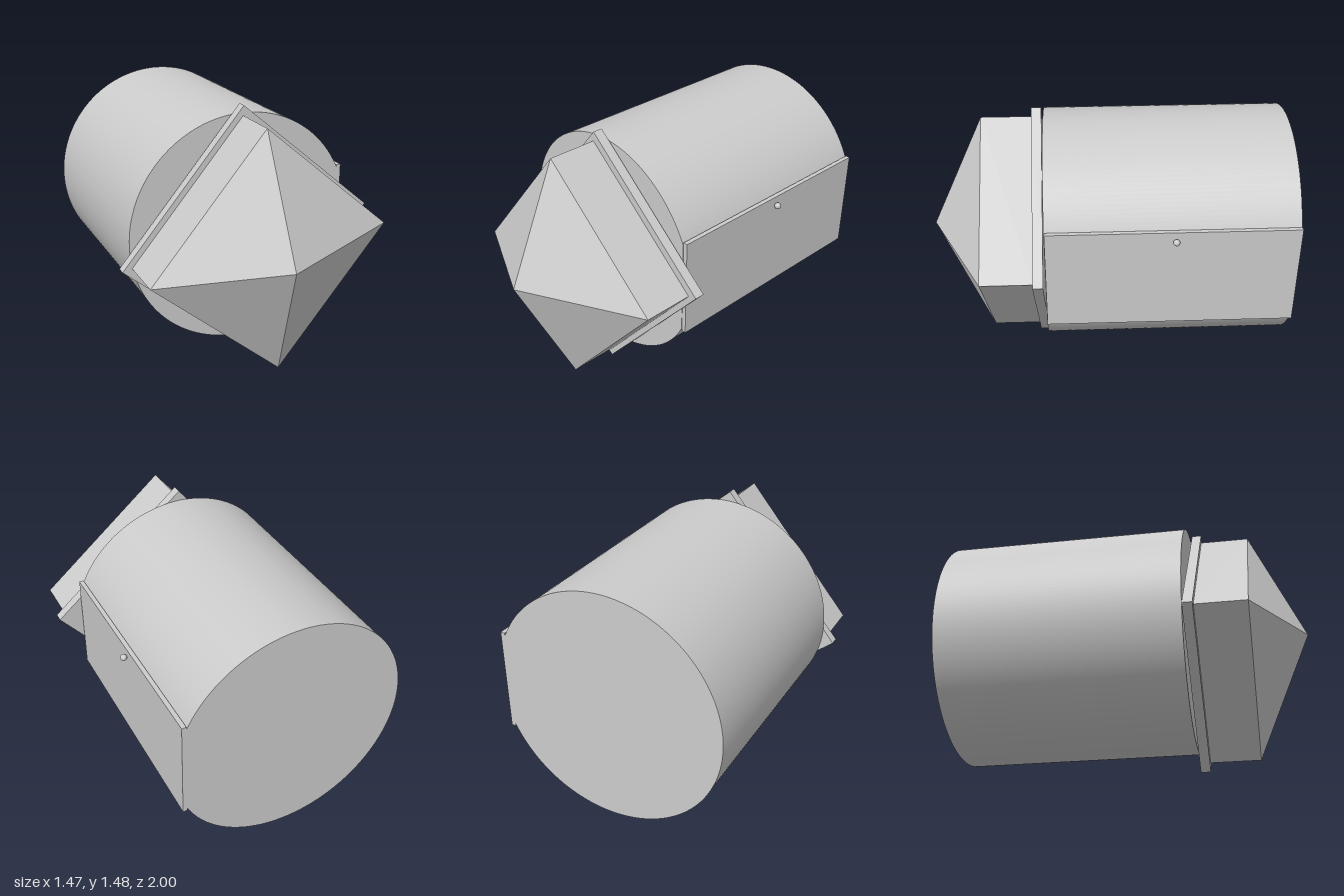
import * as THREE from 'three';
import { toCreasedNormals } from 'three/addons/utils/BufferGeometryUtils.js';

const smooth = new THREE.MeshStandardMaterial({ color: 0xcccccc });
const faceted = new THREE.MeshStandardMaterial({ color: 0xcccccc, flatShading: true });

function add(parent, name, geometry, material, x = 0, y = 0, z = 0) {
  const mesh = new THREE.Mesh(geometry, material);
  mesh.name = name;
  mesh.position.set(x, y, z);
  parent.add(mesh);
  return mesh;
}

// Round drum lying along z, with a flat cut on its left side
function drumGeometry(radius, flatX, length) {
  const a = Math.acos(flatX / radius);
  const shape = new THREE.Shape();
  shape.absarc(0, 0, radius, a, 2 * Math.PI - a, false);
  shape.closePath();
  const geometry = new THREE.ExtrudeGeometry(shape, {
    depth: length, bevelEnabled: false, curveSegments: 72,
  });
  return toCreasedNormals(geometry, 0.4);
}

// Four-sided point along +z, its tip shifted sideways
function pointGeometry(width, height, depth, tipX, tipY) {
  const geometry = new THREE.ConeGeometry(Math.SQRT1_2, 1, 4, 1, true, Math.PI / 4);
  geometry.rotateX(Math.PI / 2);
  geometry.translate(0, 0, 0.5);
  geometry.scale(width, height, depth);
  const p = geometry.attributes.position;
  for (let i = 0; i < p.count; i++) {
    const t = p.getZ(i) / depth;
    p.setXY(i, p.getX(i) + tipX * t, p.getY(i) + tipY * t);
  }
  return geometry;
}

export function createModel() {
  const model = new THREE.Group();
  model.name = 'pointedDrum';

  add(model, 'drumBody', drumGeometry(0.655, 0.595, 1.348), smooth, -0.02, 0.775, -1);

  // Door panel on the flat, with its knob
  const door = new THREE.Group();
  door.name = 'door';
  add(door, 'doorPanel', new THREE.BoxGeometry(0.025, 0.58, 1.345), faceted, 0.5875, 0.775, -0.3275);
  const stem = new THREE.CylinderGeometry(0.01, 0.01, 0.04, 16).rotateZ(Math.PI / 2);
  add(door, 'knobStem', stem, smooth, 0.595, 1.015, -0.34);
  add(door, 'knob', new THREE.SphereGeometry(0.018, 20, 14), smooth, 0.617, 1.015, -0.34);
  model.add(door);

  // Tilted head: flange plate, block and point
  const head = new THREE.Group();
  head.name = 'head';
  head.position.set(0, 0.744, 0);
  head.rotation.z = THREE.MathUtils.degToRad(-40);
  add(head, 'flangePlate', new THREE.BoxGeometry(1.018, 1.079, 0.055), faceted, 0, 0, 0.3825);
  add(head, 'headBlock', new THREE.BoxGeometry(0.955, 0.99, 0.28), faceted, 0, 0, 0.55);
  add(head, 'headPoint', pointGeometry(0.955, 0.99, 0.31, -0.036, -0.004), faceted, 0, 0, 0.69);
  model.add(head);

  return model;
}
